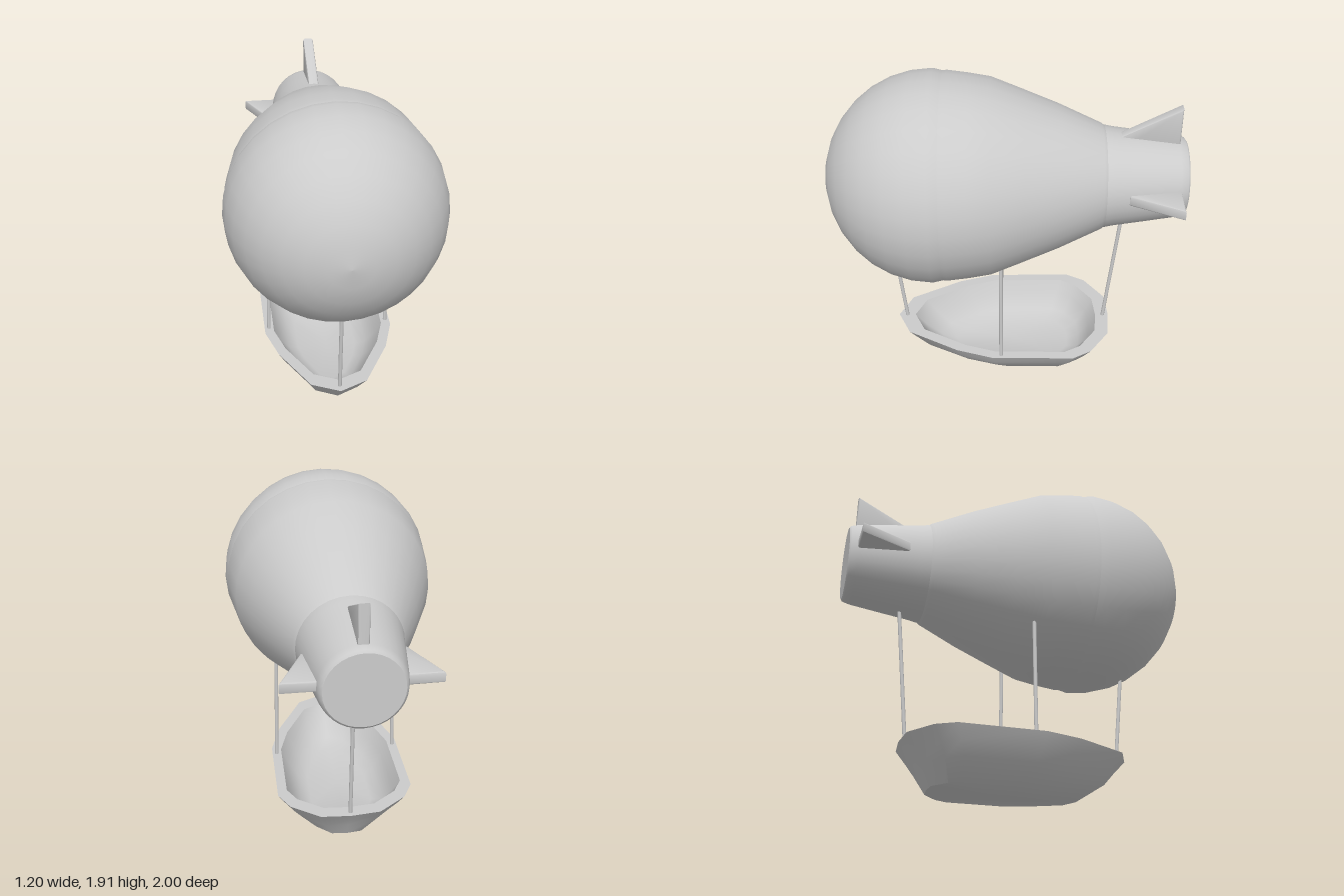
import * as THREE from 'three';
import { toCreasedNormals } from 'three/addons/utils/BufferGeometryUtils.js';

const AXIS_Y = 1.315; // height of the balloon's long axis

export function createModel() {
  const model = new THREE.Group();
  const material = new THREE.MeshStandardMaterial({ color: 0xcccccc });

  function add(name, geometry, parent = model) {
    const mesh = new THREE.Mesh(geometry, material);
    mesh.name = name;
    parent.add(mesh);
    return mesh;
  }

  // Turned part lying along z; profile is [radius, z] from back to front
  function turned(name, profile) {
    const g = new THREE.LatheGeometry(profile.map(([r, z]) => new THREE.Vector2(r, z)), 32);
    g.rotateX(Math.PI / 2);
    add(name, g).position.y = AXIS_Y;
  }

  // Balloon: round nose, tapering body, tail cone
  const nose = [[0.585, 0.335]];
  for (let i = 8; i >= 0; i--) {
    const a = (i / 8) * Math.PI / 2;
    nose.push([0.6 * Math.sin(a), 0.4 + 0.6 * Math.cos(a)]);
  }
  turned('balloonNose', nose);
  turned('balloonBody', [[0.28, -0.555], [0.3, -0.53], [0.405, -0.3], [0.485, -0.1],
    [0.555, 0.08], [0.575, 0.2], [0.59, 0.32], [0.585, 0.36]]);
  turned('tailCone', [[0.205, -1], [0.219, -0.99], [0.23, -0.95], [0.258, -0.75],
    [0.278, -0.6], [0.287, -0.555], [0.285, -0.53]]);
  turned('tailCap', [[0, -1], [0.206, -1]]);

  // Tail fins: bevelled triangles, in a plane of (z, radius)
  function fin(name, start, tip, y, angle) {
    const b = 0.01;
    const shape = new THREE.Shape([[start, 0.2], [start, 0.265], [-0.945, tip - b], [-0.945, 0.2]]
      .map(([z, r]) => new THREE.Vector2(z, r)));
    const g = new THREE.ExtrudeGeometry(shape, {
      depth: 0.04, bevelEnabled: true, bevelSize: b, bevelThickness: b, bevelSegments: 2,
    });
    g.translate(0, 0, -0.02);
    g.rotateY(-Math.PI / 2);
    const mesh = add(name, toCreasedNormals(g, 0.7));
    mesh.position.y = y;
    mesh.rotation.z = angle;
  }
  fin('topFin', -0.64, 0.44, AXIS_Y, 0);
  fin('leftFin', -0.68, 0.405, 1.33, -Math.PI / 2);
  fin('rightFin', -0.68, 0.405, 1.33, Math.PI / 2);

  // Gondola: one rim outline, scaled into rings from keel over the rim to the floor
  const half = [[0, 0.66], [0.16, 0.585], [0.32, 0.29], [0.385, 0.08], [0.39, -0.4],
    [0.33, -0.51], [0.17, -0.625], [0, -0.64]];
  const outline = [...half, ...half.slice(1, -1).reverse().map(([x, z]) => [-x, z])];
  // [half width, front z, back z, y]
  const rings = [
    [0, -0.05, -0.05, 0.003], [0.2, 0.36, -0.48, 0.02], [0.3, 0.53, -0.54, 0.13],
    [0.352, 0.59, -0.585, 0.2], [0.39, 0.66, -0.64, 0.275], [0.335, 0.56, -0.56, 0.275],
    [0.3, 0.5, -0.52, 0.2], [0.24, 0.4, -0.46, 0.11], [0.18, 0.31, -0.39, 0.08],
    [0, -0.05, -0.05, 0.075],
  ];
  const positions = [], index = [], n = outline.length;
  rings.forEach(([w, front, back, y], i) => {
    outline.forEach(([x, z], j) => {
      positions.push(x * w / 0.39, y, back + (z + 0.64) / 1.3 * (front - back));
      if (i === rings.length - 1) return;
      const a = i * n + j, b = i * n + (j + 1) % n;
      index.push(a, b, b + n, a, b + n, a + n);
    });
  });
  const hull = new THREE.BufferGeometry();
  hull.setAttribute('position', new THREE.Float32BufferAttribute(positions, 3));
  hull.setIndex(index);
  add('gondola', toCreasedNormals(hull, 0.85));

  // Struts from the gondola rim up into the balloon
  function strut(name, from, to) {
    const a = new THREE.Vector3(...from), b = new THREE.Vector3(...to);
    const mesh = add(name, new THREE.CylinderGeometry(0.011, 0.011, a.distanceTo(b), 10));
    mesh.position.copy(a).lerp(b, 0.5);
    mesh.quaternion.setFromUnitVectors(new THREE.Vector3(0, 1, 0), b.sub(a).normalize());
  }
  strut('frontStrut', [0, 0.25, 0.607], [0, 0.82, 0.662]);
  strut('backStrut', [0, 0.25, -0.603], [0, 1.07, -0.675]);
  strut('leftStrut', [0.36, 0.25, 0.025], [0.344, 0.93, 0.025]);
  strut('rightStrut', [-0.36, 0.25, 0.025], [-0.344, 0.93, 0.025]);

  return model;
}
